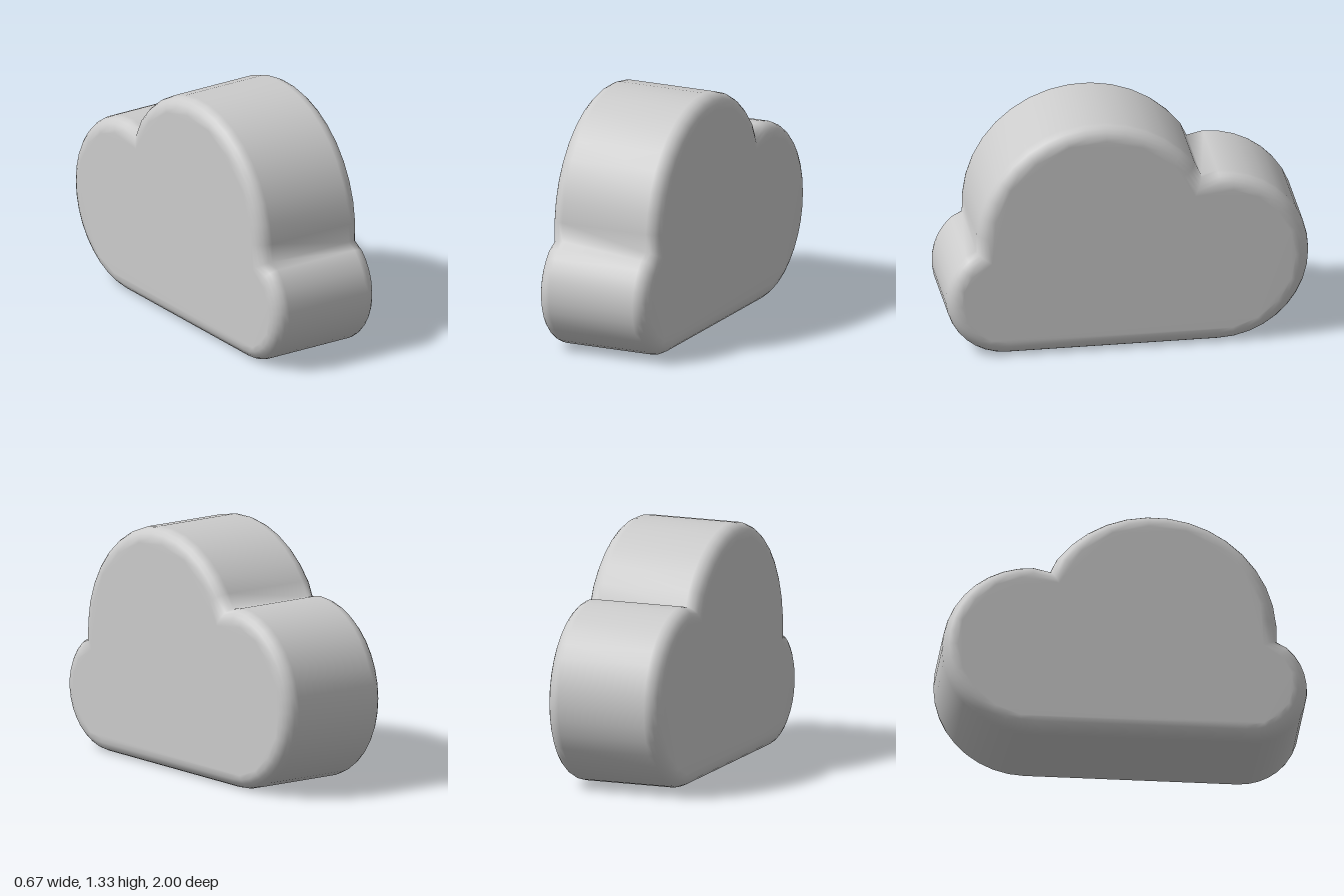
import * as THREE from 'three';

const HALF_WIDTH = 0.333;
const BEVEL = 0.08;
const BEVEL_STEPS = 5;

// Points along one round lobe of the outline; x holds z, y holds height
function lobe(z, y, radius, from, to, steps) {
  return Array.from({ length: steps + 1 }, (_, i) => {
    const a = THREE.MathUtils.degToRad(from + ((to - from) * i) / steps);
    return new THREE.Vector2(z + radius * Math.cos(a), y + radius * Math.sin(a));
  });
}

// Mitred outward direction at each outline point
function outwardDirections(points) {
  const n = points.length;
  const normal = (a, b) => new THREE.Vector2(b.y - a.y, a.x - b.x).normalize();
  return points.map((p, i) => {
    const n1 = normal(points[(i + n - 1) % n], p);
    const n2 = normal(p, points[(i + 1) % n]);
    return n1.clone().add(n2).divideScalar(1 + n1.dot(n2));
  });
}

// Thick slab of an outline with rounded rims, made of rings from -x to +x
function roundedSlab(points) {
  const n = points.length;
  const out = outwardDirections(points);
  const half = [];
  for (let k = 0; k <= BEVEL_STEPS; k++) {
    const a = (k / BEVEL_STEPS) * Math.PI / 2;
    half.push({
      x: HALF_WIDTH - BEVEL * (1 - Math.cos(a)),
      inset: BEVEL * (1 - Math.sin(a)),
    });
  }
  const rings = [
    ...half.map((r) => ({ x: -r.x, inset: r.inset })),
    ...half.slice().reverse(),
  ];

  const positions = [];
  for (const { x, inset } of rings) {
    points.forEach((p, i) => {
      positions.push(x, p.y - out[i].y * inset, p.x - out[i].x * inset);
    });
  }

  const index = [];
  for (let j = 0; j < rings.length - 1; j++) {
    for (let i = 0; i < n; i++) {
      const a = j * n + i;
      const b = j * n + ((i + 1) % n);
      index.push(a, a + n, b, a + n, b + n, b);
    }
  }

  // Flat side faces
  const rim = points.map((p, i) => p.clone().addScaledVector(out[i], -BEVEL));
  const last = (rings.length - 1) * n;
  for (const [a, b, c] of THREE.ShapeUtils.triangulateShape(rim, [])) {
    index.push(a, b, c, last + a, last + c, last + b);
  }

  const geometry = new THREE.BufferGeometry();
  geometry.setAttribute('position', new THREE.Float32BufferAttribute(positions, 3));
  geometry.setIndex(index);
  geometry.computeVertexNormals();
  return geometry;
}

export function createModel() {
  // Small front lobe, tall middle lobe and back lobe, with a notch between each
  const outline = [
    ...lobe(0.667, 0.333, 0.333, -90, 48, 13),
    new THREE.Vector2(0.834, 0.61),
    ...lobe(0.167, 0.667, 0.667, 4, 144, 14),
    new THREE.Vector2(-0.41, 0.98),
    ...lobe(-0.5, 0.5, 0.5, 90, 270, 18),
  ];

  const cloud = new THREE.Mesh(
    roundedSlab(outline),
    new THREE.MeshStandardMaterial({ color: 0xcccccc })
  );
  cloud.name = 'cloud';

  const model = new THREE.Group();
  model.name = 'cloudModel';
  model.add(cloud);
  return model;
}
